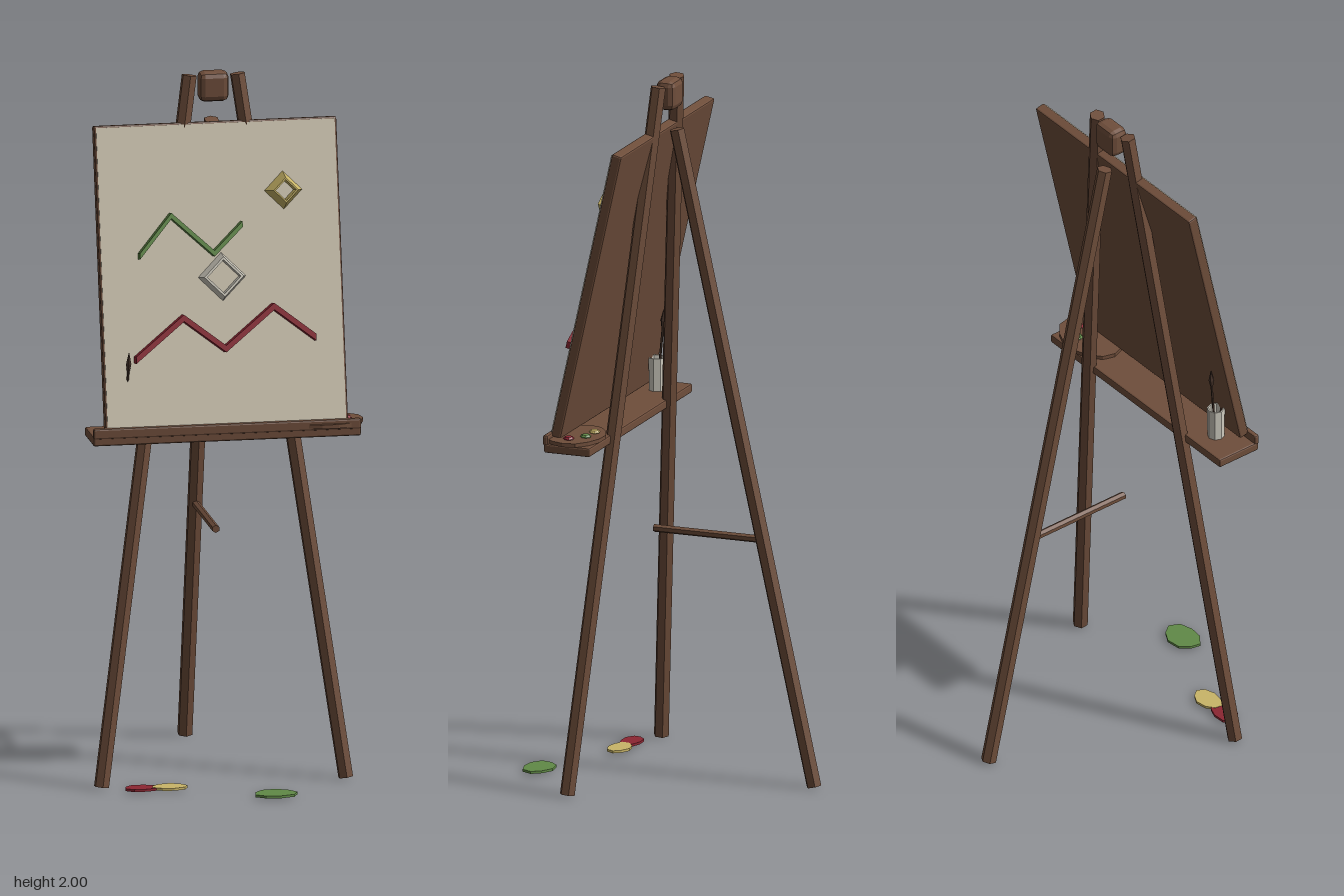
import * as THREE from 'three';
import { RoundedBoxGeometry } from 'three/addons/geometries/RoundedBoxGeometry.js';

const V = (x, y, z) => new THREE.Vector3(x, y, z);
const CX = -0.01; // centre line of the easel

function makeMaterial(name, color) {
  const m = new THREE.MeshStandardMaterial({ color });
  m.name = name;
  return m;
}

// Faceted normals for the low-poly look
function flat(geo) {
  const g = geo.index ? geo.toNonIndexed() : geo;
  g.computeVertexNormals();
  return g;
}

export function createModel() {
  const root = new THREE.Group();
  root.name = 'easel';
  const wood = makeMaterial('wood', 0x6f4e3b);
  const canvas = makeMaterial('canvas', 0xcfc6b2);
  const red = makeMaterial('red paint', 0x8c2632);
  const green = makeMaterial('green paint', 0x618a47);
  const yellow = makeMaterial('yellow paint', 0xc9b568);
  const white = makeMaterial('white', 0xd0ccc0);
  const dark = makeMaterial('dark brush wood', 0x46332a);

  function add(name, geo, mat, parent = root) {
    const mesh = new THREE.Mesh(flat(geo), mat);
    mesh.name = name;
    parent.add(mesh);
    return mesh;
  }

  // Tapered round bar between two points
  function bar(name, a, b, r0, r1, mat, sides = 6, parent = root) {
    const dir = b.clone().sub(a);
    const mesh = add(name, new THREE.CylinderGeometry(r1, r0, dir.length(), sides), mat, parent);
    mesh.position.copy(a).add(b).multiplyScalar(0.5);
    mesh.quaternion.setFromUnitVectors(V(0, 1, 0), dir.normalize());
    return mesh;
  }

  function block(name, w, h, d, x, y, z, bevel) {
    const mesh = add(name, new RoundedBoxGeometry(w, h, d, 1, bevel), wood);
    mesh.position.set(x, y, z);
    return mesh;
  }

  // Irregular flat disc lying on a surface
  function puddle(name, x, y, z, rx, rz, h, mat, sides, wobble, parent = root) {
    const shape = new THREE.Shape(Array.from({ length: sides }, (_, i) => {
      const a = (i / sides) * Math.PI * 2;
      const k = 1 + wobble * Math.sin(i * 2.3 + x * 20);
      return new THREE.Vector2(Math.cos(a) * rx * k, Math.sin(a) * rz * k);
    }));
    const geo = new THREE.ExtrudeGeometry(shape, { depth: h, bevelEnabled: false });
    geo.rotateX(-Math.PI / 2);
    const mesh = add(name, geo, mat, parent);
    mesh.position.set(x, y, z);
    return mesh;
  }

  // Legs, head block and brace
  for (const s of [-1, 1]) {
    bar(s > 0 ? 'leftFrontLeg' : 'rightFrontLeg',
      V(CX + s * 0.345, 0.006, 0.2), V(CX + s * 0.068, 1.99, 0.04), 0.022, 0.022, wood);
  }
  bar('rearLeg', V(CX, 0.005, -0.4), V(CX, 1.855, 0.012), 0.022, 0.022, wood);
  bar('brace', V(CX, 0.7, -0.25), V(CX, 0.7, 0.08), 0.011, 0.011, wood);
  block('headBlock', 0.084, 0.084, 0.056, CX, 1.956, 0.034, 0.016);

  // Tray with front lip
  block('tray', 0.756, 0.026, 0.138, CX, 1.005, 0.189, 0.005);
  block('trayLip', 0.756, 0.03, 0.016, CX, 1.027, 0.253, 0.005);

  // Leaning board, its origin in the middle of the painted face
  const TILT = 0.218, MID = 1.4475;
  const board = new THREE.Group();
  board.name = 'paintingBoard';
  board.position.set(CX, MID, 0.16);
  board.rotation.x = -TILT;
  root.add(board);
  add('boardPanel', new RoundedBoxGeometry(0.686, 0.85, 0.03, 1, 0.005), wood, board)
    .position.z = -0.016;
  add('canvasSheet', new THREE.BoxGeometry(0.674, 0.838, 0.004), canvas, board);
  const onBoard = (x, y) => [x - CX, (y - MID - 0.004) / Math.cos(TILT)];

  // Raised zigzag paint strokes
  function stroke(name, pts, thick, depth, mat) {
    const mid = pts.map(([x, y]) => onBoard(x, y));
    const edge = (d) => mid.map(([x, y]) => new THREE.Vector2(x, y + d));
    const shape = new THREE.Shape([...edge(-thick / 2), ...edge(thick / 2).reverse()]);
    add(name, new THREE.ExtrudeGeometry(shape, { depth, bevelEnabled: false }), mat, board);
  }
  stroke('redStroke', [[-0.265, 1.227], [-0.126, 1.336], [-0.01, 1.248], [0.13, 1.358], [0.245, 1.27]],
    0.019, 0.041, red);
  stroke('greenStroke', [[-0.243, 1.508], [-0.15, 1.615], [-0.032, 1.508], [0.05, 1.585]],
    0.016, 0.038, green);

  // Raised four-sided paint rings
  function ring(name, x, y, inner, back, front, depth, mat) {
    const profile = [[back, 0], [front, depth], [inner, depth], [inner, 0], [back, 0]]
      .map(([r, h]) => new THREE.Vector2(r, h));
    const geo = new THREE.LatheGeometry(profile, 4);
    geo.rotateX(Math.PI / 2);
    const mesh = add(name, geo, mat, board);
    const [lx, ly] = onBoard(x, y);
    mesh.position.set(lx, ly, 0);
  }
  ring('yellowRing', 0.174, 1.672, 0.029, 0.054, 0.035, 0.05, yellow);
  ring('whiteRing', -0.008, 1.444, 0.047, 0.068, 0.056, 0.038, white);

  // Palette with dabs of paint
  puddle('palette', 0.28, 1.019, 0.195, 0.106, 0.08, 0.011, wood, 14, 0.02);
  [[0.337, 0.195, red], [0.298, 0.16, green], [0.245, 0.155, yellow]].forEach(([x, z, mat]) => {
    const dab = add('paintDab', new THREE.SphereGeometry(0.016, 7, 4), mat);
    dab.scale.y = 0.5;
    dab.position.set(x, 1.032, z);
  });

  // Brush cup and brushes
  const cup = new THREE.Group();
  cup.name = 'brushCup';
  cup.position.set(-0.288, 1.018, 0.186);
  root.add(cup);
  add('cup', new THREE.LatheGeometry(
    [[0, 0], [0.024, 0], [0.025, 0.094], [0.021, 0.094], [0.02, 0.008], [0, 0.008]]
      .map(([r, y]) => new THREE.Vector2(r, y)), 8), white, cup);
  [[0.004, 0.05], [-0.003, -0.02]].forEach(([dx, dz]) => {
    const foot = V(0, 0.012, dz * 0.1), neck = V(dx * 0.8, 0.175, dz * 0.82);
    const ferrule = V(dx * 0.9, 0.2, dz * 0.9), tip = V(dx, 0.232, dz);
    bar('brushHandle', foot, neck, 0.0035, 0.0035, dark, 5, cup);
    bar('brushFerrule', neck, ferrule, 0.0035, 0.008, dark, 5, cup);
    bar('brushTip', ferrule, tip, 0.008, 0.001, dark, 5, cup);
  });

  // Paint drips on the floor
  puddle('redDrip', -0.25, 0.005, 0.247, 0.05, 0.03, 0.007, red, 9, 0.06);
  puddle('yellowDrip', -0.172, 0.006, 0.25, 0.05, 0.032, 0.007, yellow, 9, 0.06);
  puddle('greenDrip', 0.103, 0.005, 0.379, 0.06, 0.044, 0.007, green, 9, 0.06);

  return root;
}
